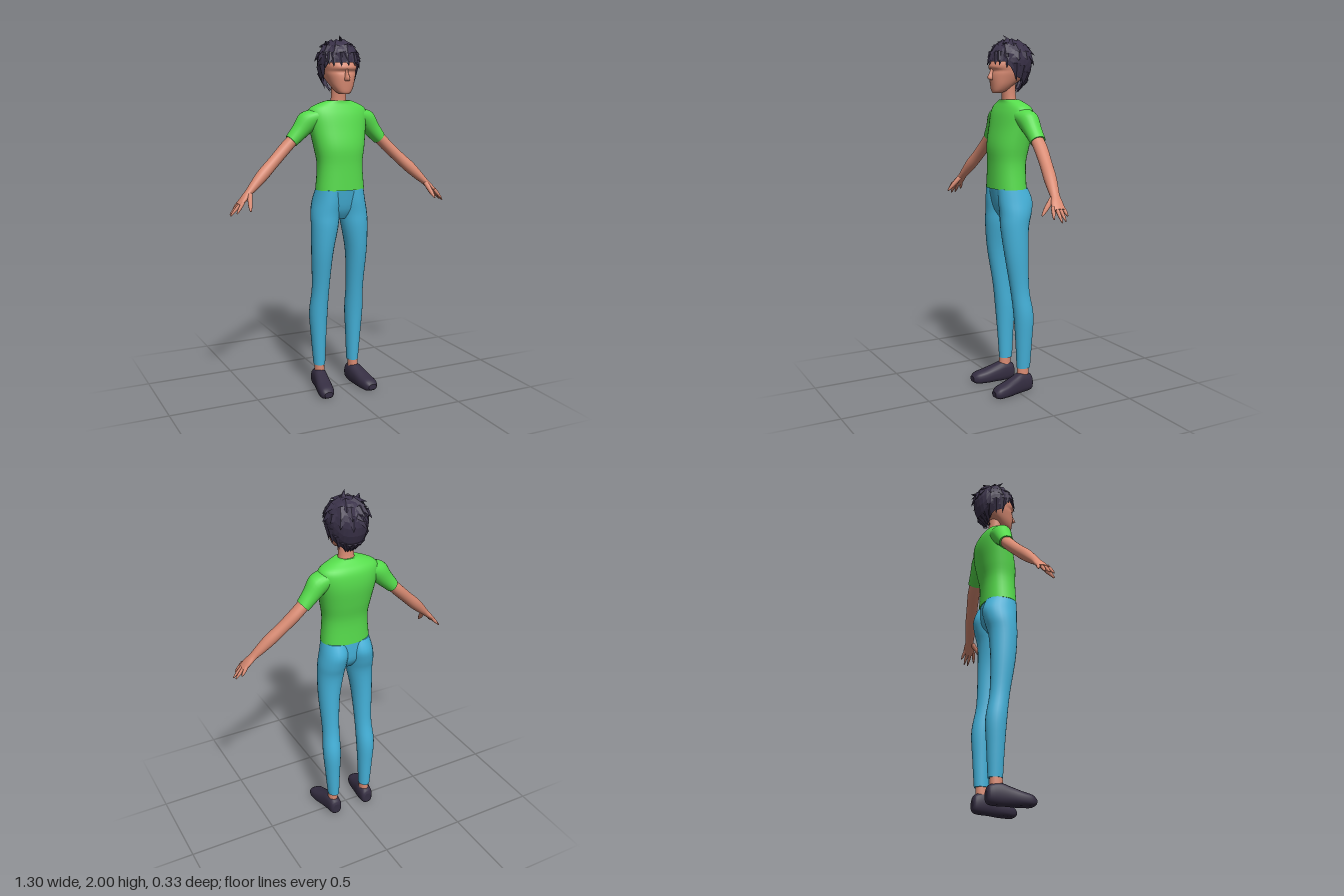
import * as THREE from 'three';
import { mergeGeometries } from 'three/addons/utils/BufferGeometryUtils.js';
import { ParametricGeometry } from 'three/addons/geometries/ParametricGeometry.js';

const V = (x, y, z) => new THREE.Vector3(x, y, z);
const X = V(1, 0, 0), Y = V(0, 1, 0), Z = V(0, 0, 1);
const mat = (color, extra = {}) => new THREE.MeshStandardMaterial({ color, ...extra });

const SKIN = mat(0xd98b73);
const SHIRT = mat(0x56dc4c);
const PANTS = mat(0x45b2da);
const SHOE = mat(0x352e42);
const HAIR = mat(0x3a3249, { flatShading: true, side: THREE.DoubleSide });

// Smooth loft through sections [x, y, z, radius along u, radius along v]; u x v points along the sections
function loft(sections, u, v, { n = 24, sub = 4, p = 2 } = {}) {
  const rings = [], last = sections.length - 1;
  const at = i => sections[Math.min(Math.max(i, 0), last)];
  const bend = (c, e) => Math.sign(c) * Math.abs(c) ** e;
  for (let k = 0; k <= last * sub; k++) {
    const i = Math.min(Math.floor(k / sub), last - 1), t = k / sub - i;
    const s = at(i).map((b, q) => {
      const m0 = (at(i + 1)[q] - at(i - 1)[q]) / 2, m1 = (at(i + 2)[q] - b) / 2, d = at(i + 1)[q] - b;
      return b + m0 * t + (3 * d - 2 * m0 - m1) * t * t + (m0 + m1 - 2 * d) * t ** 3;
    });
    const ring = [];
    for (let j = 0; j < n; j++) {
      const a = (j / n) * Math.PI * 2;
      ring.push(V(s[0], s[1], s[2])
        .addScaledVector(u, s[3] * bend(Math.cos(a), 2 / p))
        .addScaledVector(v, s[4] * bend(Math.sin(a), 2 / p)));
    }
    rings.push(ring);
  }
  const pts = rings.flat(), index = [];
  for (let i = 0; i < rings.length - 1; i++) for (let j = 0; j < n; j++) {
    const a = i * n + j, b = i * n + (j + 1) % n;
    index.push(a, b, a + n, b, b + n, a + n);
  }
  // end caps with their own vertices
  [[rings[0], true], [rings[rings.length - 1], false]].forEach(([ring, flip]) => {
    const base = pts.length;
    const mid = ring.reduce((m, q) => m.add(q), V(0, 0, 0)).divideScalar(n);
    pts.push(...ring.map(q => q.clone()), mid);
    for (let j = 0; j < n; j++) {
      const a = base + j, b = base + (j + 1) % n;
      index.push(...(flip ? [b, a, base + n] : [a, b, base + n]));
    }
  });
  const g = new THREE.BufferGeometry().setFromPoints(pts);
  g.setIndex(index);
  g.computeVertexNormals();
  return g;
}
const upright = (s, o) => loft(s, Z, X, o);

function mirrored(g) {
  const m = g.clone().scale(-1, 1, 1);
  m.setIndex(Array.from(g.index.array).reverse());
  m.computeVertexNormals();
  return m;
}

// Tapered finger from a to b
function finger(a, b, r) {
  const d = b.clone().sub(a).normalize();
  const u = Z.clone().addScaledVector(d, -d.z).normalize();
  const v = d.clone().cross(u);
  const mid = a.clone().lerp(b, 0.6);
  return loft([[...a, r, r], [...mid, r * 0.85, r * 0.85], [...b, r * 0.3, r * 0.3]], u, v, { n: 8, sub: 2 });
}

// Hair surface: phi runs round from the front, theta down from the crown, k scales outward
function scalp(phi, theta, k = 1) {
  const c = Math.cos(theta), s = Math.sin(theta);
  return V(0.112 * s * Math.sin(phi) * k, 1.86 + c * (c > 0 ? 0.115 : 0.165) * k, -0.012 + 0.122 * s * Math.cos(phi) * k);
}
function hairline(phi) {
  const f = Math.abs(Math.atan2(Math.sin(phi), Math.cos(phi)));
  return 1.6 + 0.55 * THREE.MathUtils.smoothstep(f, 0.9, 1.5) + 0.6 * THREE.MathUtils.smoothstep(f, 1.6, 2.7);
}

// Pointed flat lock from a base sunk in the hair to a free tip
function lock(base, tip, width) {
  const y = tip.clone().sub(base), len = y.length();
  y.normalize();
  const out = base.clone().sub(V(0, 1.86, -0.012));
  const x = y.clone().cross(out).normalize();
  const z = x.clone().cross(y);
  const g = new THREE.ConeGeometry(width, len, 4).scale(1, 1, 0.5).translate(0, len / 2, 0);
  return g.applyMatrix4(new THREE.Matrix4().makeBasis(x, y, z).setPosition(base));
}

function hairLocks() {
  const jit = i => { const s = Math.sin(i * 12.9898) * 43758.5453; return s - Math.floor(s); };
  const locks = [];
  let id = 1;
  for (const [theta, count, reach, width] of [[0.3, 6, 0.6, 0.036], [0.75, 10, 0.6, 0.036], [1.15, 14, 0.5, 0.034]]) {
    for (let i = 0; i < count; i++) {
      const phi = (i + jit(id++) * 0.6) / count * Math.PI * 2;
      const end = Math.min(theta + reach * (0.8 + 0.4 * jit(id++)), hairline(phi) + 0.1);
      locks.push(lock(scalp(phi, theta, 0.93), scalp(phi + 0.35 * (jit(id++) - 0.3), end, 1.08 + 0.13 * jit(id++)), width));
    }
  }
  // locks along the hairline
  for (let i = 0; i < 18; i++) {
    const phi = i / 18 * Math.PI * 2, h = hairline(phi);
    locks.push(lock(scalp(phi, h - 0.45, 0.96), scalp(phi + 0.16 * (jit(id++) - 0.5), h + 0.12, 1.08), 0.028));
  }
  // tufts on the crown and back
  locks.push(lock(V(0.04, 1.94, -0.02), V(-0.01, 2.0, 0.03), 0.035));
  locks.push(lock(V(-0.05, 1.94, -0.03), V(-0.09, 1.97, 0.02), 0.03));
  locks.push(lock(V(0, 1.92, -0.07), V(-0.02, 1.885, -0.165), 0.045));
  return mergeGeometries(locks);
}

export function createModel() {
  const model = new THREE.Group();
  const add = (name, geometry, material) => {
    const m = new THREE.Mesh(geometry, material);
    m.name = name;
    model.add(m);
  };
  const pair = (name, g, material) => {
    add('left' + name, g, material);
    add('right' + name, mirrored(g), material);
  };

  // Shirt body and sleeves
  add('shirt', upright([
    [0, 1.165, 0.013, 0.097, 0.14], [0, 1.3, 0.012, 0.094, 0.13], [0, 1.4, 0.003, 0.103, 0.145],
    [0, 1.5, -0.015, 0.1, 0.163], [0, 1.57, -0.022, 0.09, 0.174], [0, 1.61, -0.022, 0.075, 0.162],
    [0, 1.636, -0.014, 0.056, 0.115], [0, 1.652, -0.006, 0.046, 0.066]], { n: 36, p: 2.3 }), SHIRT);
  const armSide = V(-0.67, -0.742, 0);
  pair('Sleeve', loft([
    [0.11, 1.57, -0.02, 0.065, 0.05], [0.175, 1.54, -0.026, 0.058, 0.06],
    [0.225, 1.485, -0.03, 0.048, 0.047], [0.27, 1.436, -0.032, 0.043, 0.038]], Z, armSide), SHIRT);

  // Arms, hands and fingers
  pair('Arm', loft([
    [0.24, 1.465, -0.031, 0.036, 0.032], [0.31, 1.397, -0.027, 0.037, 0.033], [0.385, 1.325, -0.012, 0.034, 0.032],
    [0.45, 1.265, 0.004, 0.034, 0.033], [0.505, 1.212, 0.018, 0.029, 0.026], [0.54, 1.178, 0.027, 0.026, 0.019],
    [0.57, 1.148, 0.035, 0.034, 0.016], [0.6, 1.118, 0.04, 0.034, 0.011]], Z, armSide), SKIN);
  const tips = [[0.62, 1.09, 0.002], [0.645, 1.068, 0.028], [0.65, 1.064, 0.052], [0.625, 1.078, 0.085]];
  tips.forEach((t, i) => pair('Finger' + (i + 1), finger(V(0.585, 1.133, 0.014 + i * 0.018), V(...t), 0.0105), SKIN));
  pair('Thumb', finger(V(0.54, 1.17, 0.045), V(0.56, 1.09, 0.115), 0.015), SKIN);

  // Trousers
  add('trouserSeat', upright([
    [0, 1.0, 0.005, 0.045, 0.05], [0, 1.06, 0.002, 0.08, 0.115], [0, 1.17, 0.011, 0.092, 0.135]], { n: 32 }), PANTS);
  pair('TrouserLeg', upright([
    [0.106, 0.14, -0.04, 0.04, 0.033], [0.11, 0.3, -0.04, 0.049, 0.043], [0.112, 0.45, -0.037, 0.058, 0.052],
    [0.107, 0.6, -0.015, 0.055, 0.049], [0.105, 0.8, 0.005, 0.07, 0.06], [0.092, 0.95, 0.01, 0.081, 0.075],
    [0.085, 1.03, 0, 0.092, 0.08], [0.075, 1.1, -0.003, 0.1, 0.077], [0.069, 1.168, 0.01, 0.088, 0.068]]), PANTS);

  // Ankles and shoes, toes turned out
  pair('Ankle', upright([[0.108, 0.06, -0.035, 0.036, 0.03], [0.107, 0.16, -0.036, 0.034, 0.026]], { n: 16 }), SKIN);
  const shoe = loft([
    [0.108, 0.045, -0.09, 0.022, 0.03], [0.108, 0.052, -0.075, 0.036, 0.05], [0.111, 0.055, -0.02, 0.041, 0.06],
    [0.119, 0.046, 0.03, 0.043, 0.052], [0.129, 0.034, 0.09, 0.046, 0.042], [0.136, 0.028, 0.14, 0.041, 0.033],
    [0.138, 0.025, 0.165, 0.024, 0.016]], X, Y, { n: 20, p: 2.5 });
  const sp = shoe.attributes.position;
  for (let i = 0; i < sp.count; i++) sp.setY(i, Math.max(0, sp.getY(i)));
  shoe.computeVertexNormals();
  pair('Shoe', shoe, SHOE);

  // Neck, head and nose
  add('neck', upright([
    [0, 1.63, -0.008, 0.042, 0.05], [0, 1.67, -0.003, 0.038, 0.043], [0, 1.76, 0.002, 0.04, 0.043]]), SKIN);
  add('head', upright([
    [0, 1.688, 0.07, 0.022, 0.024], [0, 1.7, 0.058, 0.04, 0.042], [0, 1.73, 0.04, 0.062, 0.061],
    [0, 1.765, 0.015, 0.09, 0.075], [0, 1.79, 0.004, 0.099, 0.083], [0, 1.808, 0, 0.098, 0.086],
    [0, 1.826, 0, 0.11, 0.088], [0, 1.85, -0.003, 0.104, 0.09], [0, 1.89, -0.01, 0.085, 0.08],
    [0, 1.93, -0.01, 0.05, 0.05]], { n: 28, sub: 3, p: 2.3 }), SKIN);
  add('nose', upright([
    [0, 1.757, 0.1, 0.012, 0.012], [0, 1.768, 0.1, 0.03, 0.016], [0, 1.795, 0.1, 0.016, 0.009],
    [0, 1.822, 0.1, 0.008, 0.006]], { n: 8, sub: 2 }), SKIN);

  // Hair cap and locks
  const cap = new ParametricGeometry((u, v, target) => {
    const phi = v * Math.PI * 2;
    target.copy(scalp(phi, 0.001 + u * hairline(phi)));
  }, 10, 28);
  add('hairCap', cap, HAIR);
  add('hairLocks', hairLocks(), HAIR);
  return model;
}
